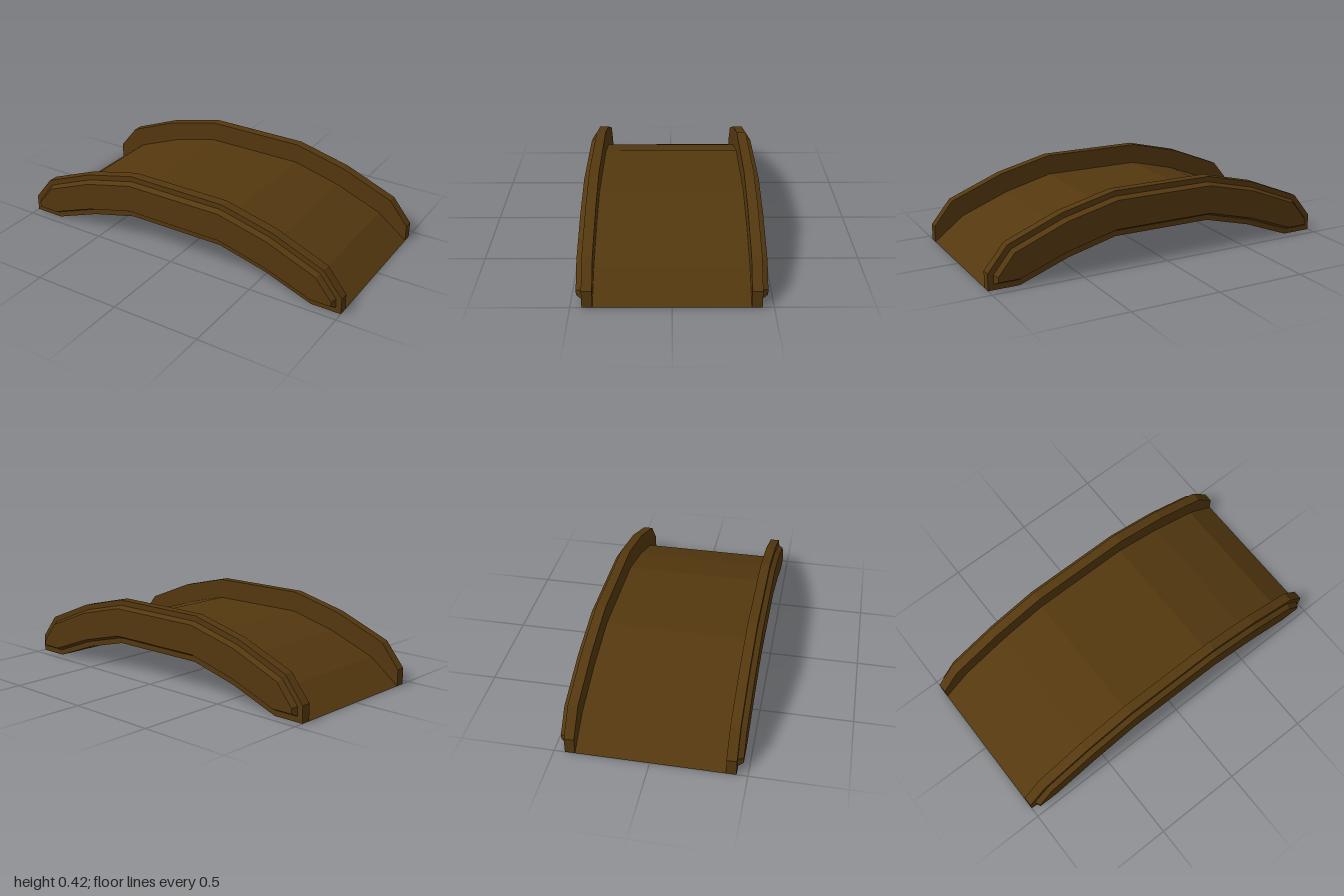
import * as THREE from 'three';

const material = new THREE.MeshStandardMaterial({ color: 0x54380f, flatShading: true });

// Mirror a right-hand profile (ordered from the upper centre round to the lower centre)
const mirrored = half => [
  ...half,
  ...half.slice().reverse().filter(([x]) => x > 0).map(([x, y]) => [-x, y]),
].map(([x, y]) => new THREE.Vector2(x, y));

// Move every edge of a clockwise outline inwards by d, with mitred corners
function inset(points, d) {
  const n = points.length;
  const normal = (a, b) => new THREE.Vector2(b.y - a.y, a.x - b.x).normalize();
  return points.map((p, i) => {
    const n1 = normal(points[(i + n - 1) % n], p);
    const n2 = normal(p, points[(i + 1) % n]);
    return n1.clone().add(n2).multiplyScalar(d / (1 + n1.dot(n2))).add(p);
  });
}

// Prism from z0 to z1; the far face may take a second outline with matching corners
function slab(name, points, z0, z1, farPoints = points) {
  const geometry = new THREE.ExtrudeGeometry(new THREE.Shape(points), { depth: z1 - z0, bevelEnabled: false });
  const pos = geometry.attributes.position;
  for (let i = 0; i < pos.count; i++) {
    if (pos.getZ(i) < 1e-6) continue;
    const k = points.findIndex(p => Math.hypot(p.x - pos.getX(i), p.y - pos.getY(i)) < 1e-4);
    pos.setXY(i, farPoints[k].x, farPoints[k].y);
  }
  geometry.translate(0, 0, z0);
  geometry.computeVertexNormals();
  const mesh = new THREE.Mesh(geometry, material);
  mesh.name = name;
  return mesh;
}

export function createModel() {
  const group = new THREE.Group();
  group.name = 'archedBridge';

  const underside = [[0.83, 0], [0.56, 0.1], [0.285, 0.17]];

  // Arched walkway, tapering to the ground at both ends
  const deck = mirrored([[0.285, 0.305], [0.56, 0.235], [0.83, 0.13], [1, 0], ...underside]);
  group.add(slab('deck', deck, -0.39, 0.39));

  // Raised side walls, each with a bevelled outer panel
  const wall = mirrored([[0.29, 0.418], [0.59, 0.345], [0.89, 0.225], [1, 0.09], [1, 0], ...underside]);
  for (const [name, turn] of [['frontWall', 0], ['backWall', Math.PI]]) {
    const side = new THREE.Group();
    side.name = name;
    side.add(slab('parapet', wall, 0.39, 0.443));
    side.add(slab('bevelledPanel', inset(wall, 0.03), 0.443, 0.472, inset(wall, 0.045)));
    side.rotation.y = turn;
    group.add(side);
  }
  return group;
}
